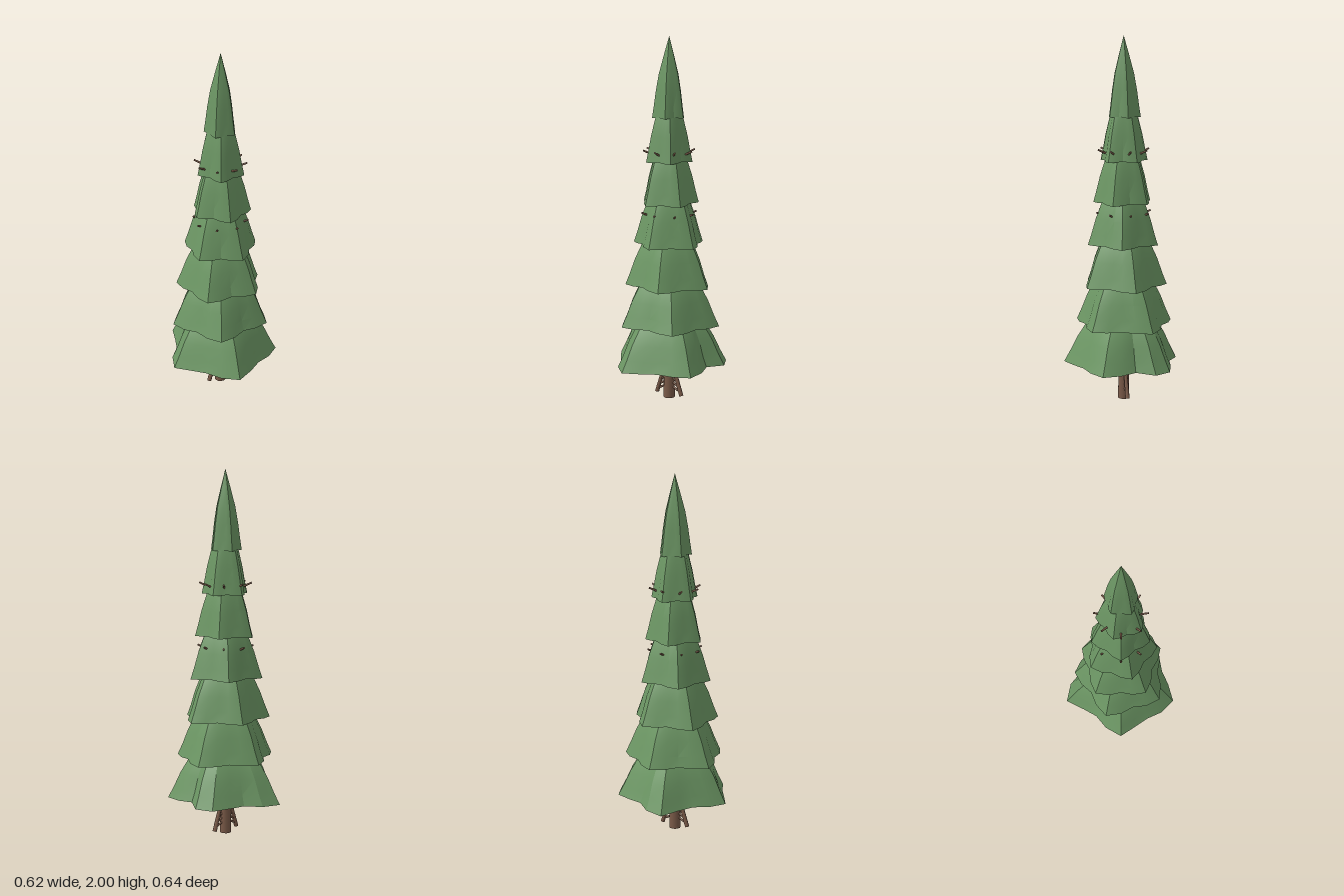
import * as THREE from 'three';
import { toCreasedNormals } from 'three/addons/utils/BufferGeometryUtils.js';

const CX = 0.012, CZ = 0.005, SIDES = 20;

// Lobe outline of the lowest skirt, counter-clockwise from +x, 18 degrees apart
const baseRim = [0.242, 0.312, 0.317, 0.274, 0.252, 0.303, 0.341, 0.272, 0.25, 0.287,
  0.323, 0.28, 0.268, 0.3, 0.33, 0.285, 0.262, 0.288, 0.317, 0.28];

// Skirt profile: [height above rim, share of rim radius, strength of the lobes]
const profile = [[0, 1, 1], [0.06, 0.9, 0.95], [0.14, 0.79, 0.85], [0.23, 0.62, 0.75], [0.33, 0.32, 0.7], [0.43, 0, 0]];

// Five-lobed skirt of foliage, open underneath
function skirtGeometry(y, radius, rim) {
  const pos = [], index = [];
  const mean = rim.reduce((a, b) => a + b, 0) / SIDES;
  for (const [h, share, lobe] of profile) {
    for (let i = 0; i < SIDES; i++) {
      const a = (i / SIDES) * Math.PI * 2;
      const wave = rim[i] / mean - 1;
      const r = radius * share * (1 + wave * lobe);
      const droop = h === 0 ? 0.03 * wave : 0;
      pos.push(CX + Math.cos(a) * r, y + h - droop, CZ - Math.sin(a) * r);
    }
  }
  for (let k = 0; k < profile.length - 1; k++) {
    for (let i = 0; i < SIDES; i++) {
      const j = (i + 1) % SIDES;
      const a = k * SIDES + i, b = k * SIDES + j, c = b + SIDES, d = a + SIDES;
      index.push(a, b, c);
      if (k < profile.length - 2) index.push(a, c, d);
    }
  }
  const g = new THREE.BufferGeometry();
  g.setAttribute('position', new THREE.Float32BufferAttribute(pos, 3));
  g.setIndex(index);
  return toCreasedNormals(g, 0.4);
}

// Round stick between two points
function stick(name, from, to, r0, r1, material) {
  const a = new THREE.Vector3(...from), b = new THREE.Vector3(...to);
  const dir = b.clone().sub(a);
  const mesh = new THREE.Mesh(new THREE.CylinderGeometry(r1, r0, dir.length(), 8), material);
  mesh.position.copy(a).add(b).multiplyScalar(0.5);
  mesh.quaternion.setFromUnitVectors(new THREE.Vector3(0, 1, 0), dir.normalize());
  mesh.name = name;
  return mesh;
}

export function createModel() {
  const tree = new THREE.Group();
  tree.name = 'coniferTree';
  const needles = new THREE.MeshStandardMaterial({ color: 0x6b9563, side: THREE.DoubleSide });
  needles.name = 'needle green';
  const bark = new THREE.MeshStandardMaterial({ color: 0x7a5a48 });
  bark.name = 'bark brown';

  // Trunk
  tree.add(stick('trunk', [CX, 0, CZ], [CX, 1.8, CZ], 0.031, 0.008, bark));
  tree.children[0].geometry = new THREE.CylinderGeometry(0.012, 0.032, 1.8, 12);

  // Foliage skirts, each turned by a quarter lobe from the one below
  const foliage = new THREE.Group();
  foliage.name = 'foliage';
  [0.29, 0.248, 0.216, 0.181, 0.147, 0.118, 0.081].forEach((radius, t) => {
    const rim = baseRim.map((r, i) => {
      if (t === 0) return r;
      const a = (i / SIDES) * Math.PI * 2, phase = (2 - t) * Math.PI / 10;
      return 1 + 0.115 * Math.cos(5 * (a - phase)) + 0.025 * Math.sin(2 * a + t);
    });
    const skirt = new THREE.Mesh(skirtGeometry(0.212 + t * 0.2265 - (t > 0 ? 0 : 0.002), radius, rim), needles);
    skirt.name = 'foliageSkirt' + (t + 1);
    foliage.add(skirt);
  });
  foliage.children.forEach((s, t) => { s.position.y = -0.0045 * Math.min(t, 1) * Math.min(t, 2); });
  foliage.children[6].position.y = 0;
  tree.add(foliage);

  // Whorls of bare twigs poking through the foliage
  const twigs = new THREE.Group();
  twigs.name = 'twigs';
  [[0.675, 0.19], [1.055, 0.152], [1.395, 0.142]].forEach(([y, reach]) => {
    for (let i = 0; i < 8; i++) {
      const a = (i * Math.PI) / 4, c = Math.cos(a), s = Math.sin(a);
      twigs.add(stick('twig', [CX + c * 0.01, y - 0.06, CZ - s * 0.01],
        [CX + c * reach, y, CZ - s * reach], 0.007, 0.005, bark));
    }
  });
  tree.add(twigs);

  // Slanted root braces with short rungs, one on each side
  for (const side of [-1, 1]) {
    const brace = new THREE.Group();
    brace.name = side > 0 ? 'leftRoot' : 'rightRoot';
    const at = (x, y) => [CX + side * x, y, CZ];
    brace.add(stick('rootBrace', at(0.02, 0.21), at(0.08, 0.018), 0.009, 0.012, bark));
    for (let i = 0; i < 6; i++) {
      const y = 0.035 + i * 0.026;
      brace.add(stick('rootRung', at(0.02, y + 0.03), at(0.085 - (y - 0.018) * 0.31, y), 0.006, 0.006, bark));
    }
    tree.add(brace);
  }
  return tree;
}
